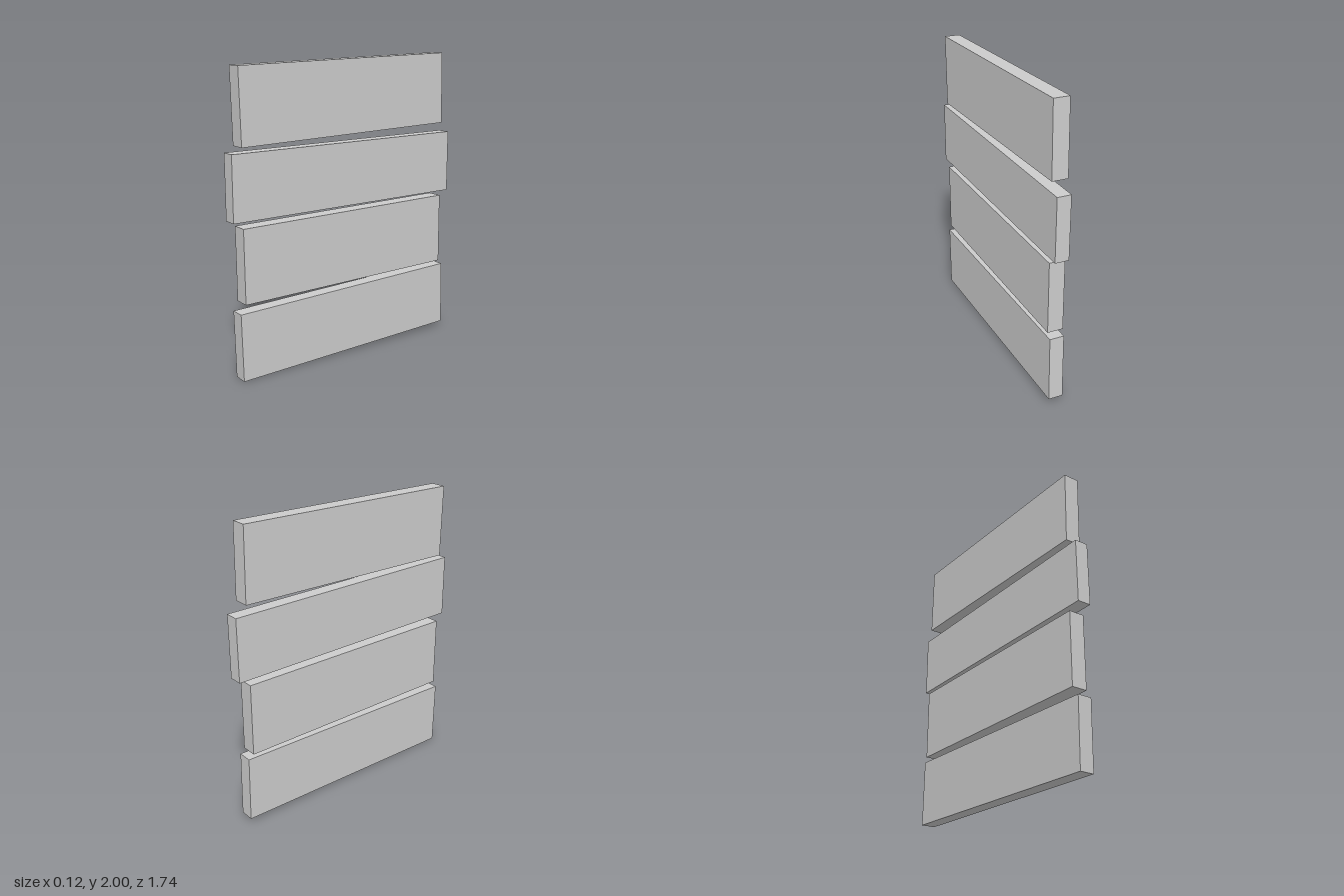
import * as THREE from 'three';

// Each plank: height, length, thickness, centre (x, y, z), tilt about x
const PLANKS = [
  { name: 'bottomPlank', h: 0.445, l: 1.67, t: 0.096, x: 0.001, y: 0.243, z: -0.005, tilt: 0.021 },
  { name: 'lowerPlank', h: 0.484, l: 1.602, t: 0.105, x: -0.003, y: 0.751, z: -0.001, tilt: 0.006 },
  { name: 'upperPlank', h: 0.42, l: 1.735, t: 0.092, x: 0.003, y: 1.24, z: 0, tilt: 0 },
  { name: 'topPlank', h: 0.482, l: 1.6, t: 0.105, x: -0.003, y: 1.742, z: 0.004, tilt: 0.022 },
];
const YAW = 0.0065; // slight turn shared by all planks

export function createModel() {
  const group = new THREE.Group();
  group.name = 'plankStack';
  const material = new THREE.MeshStandardMaterial({ color: 0xcccccc, flatShading: true });

  // Flat boards stacked on edge with narrow, uneven gaps
  for (const p of PLANKS) {
    const plank = new THREE.Mesh(new THREE.BoxGeometry(p.t, p.h, p.l), material);
    plank.name = p.name;
    plank.position.set(p.x, p.y, p.z);
    plank.rotation.set(p.tilt, YAW, 0);
    group.add(plank);
  }
  return group;
}
